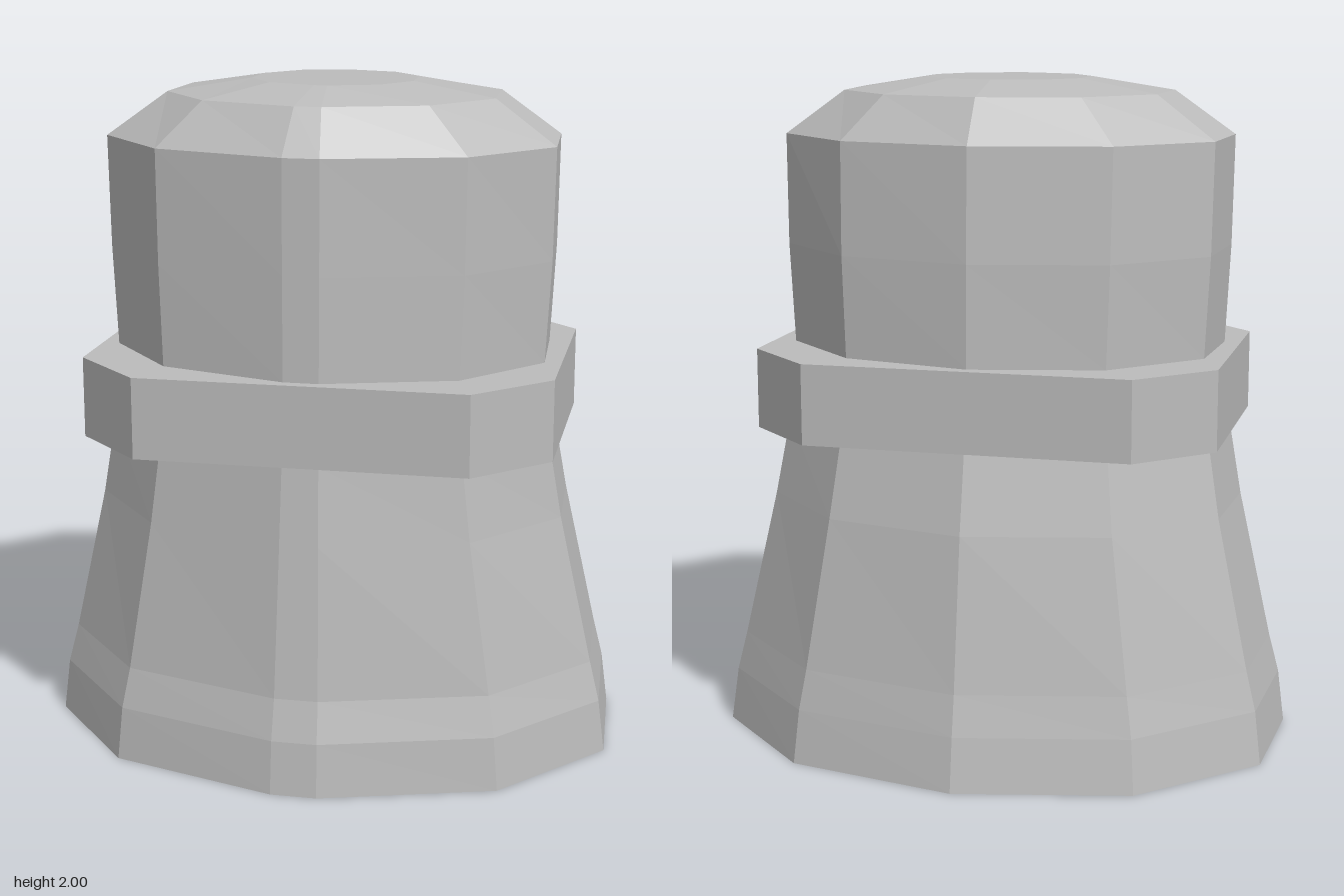
import * as THREE from 'three';

const grey = new THREE.MeshStandardMaterial({ color: 0xbcbcbc, flatShading: true });
grey.name = 'grey';

// Right half of the eleven-sided outline, back to front, as fractions of half width and half depth
const half = [[0, -1], [0.6, -0.83], [0.975, -0.345], [1, 0.255], [0.67, 0.77], [0.08, 1]];
const outline = [...half, ...half.slice(1).reverse().map(([x, z]) => [-x, z])];

// Each level: height, half width, back z, front z
const levels = [
  [0, 0.855, -0.67, 0.67],
  [0.16, 0.835, -0.645, 0.655],
  [0.28, 0.805, -0.62, 0.625],
  [0.73, 0.705, -0.55, 0.58],
  [0.96, 0.665, -0.5, 0.555],
  [1.2, 0.645, -0.47, 0.54],
  [1.5, 0.66, -0.47, 0.535],
  [1.83, 0.665, -0.455, 0.53],
  [1.96, 0.485, -0.365, 0.435],
  [2, 0.24, -0.19, 0.26],
];

// Faceted skin through all levels, closed at both ends
function loft() {
  const rings = levels.map(([y, w, back, front]) => outline.map(([x, z]) =>
    [x * w, y, (back + front) / 2 + z * (front - back) / 2]));
  const n = outline.length;
  const top = rings.length - 1;
  const pos = [];
  const tri = (...corners) => corners.forEach((p) => pos.push(...p));
  for (let i = 0; i < n; i++) {
    const j = (i + 1) % n;
    for (let r = 0; r < top; r++) {
      tri(rings[r][i], rings[r + 1][i], rings[r + 1][j]);
      tri(rings[r][i], rings[r + 1][j], rings[r][j]);
    }
    tri([0, 0, 0], rings[0][i], rings[0][j]);
    tri([0, 2, 0.035], rings[top][j], rings[top][i]);
  }
  const geometry = new THREE.BufferGeometry();
  geometry.setAttribute('position', new THREE.Float32BufferAttribute(pos, 3));
  geometry.computeVertexNormals();
  return geometry;
}

// Octagonal collar with cut corners
function collarGeometry() {
  const right = [[0.485, -0.575], [0.695, -0.365], [0.695, 0.3], [0.485, 0.505]];
  const points = [...right, ...right.slice().reverse().map(([x, y]) => [-x, y])];
  const shape = new THREE.Shape(points.map(([x, y]) => new THREE.Vector2(x, y)));
  return new THREE.ExtrudeGeometry(shape, { depth: 0.24, bevelEnabled: false }).rotateX(-Math.PI / 2);
}

export function createModel() {
  const model = new THREE.Group();
  const body = new THREE.Mesh(loft(), grey);
  body.name = 'body';
  const collar = new THREE.Mesh(collarGeometry(), grey);
  collar.name = 'collar';
  collar.position.y = 0.96;
  model.add(body, collar);
  return model;
}
